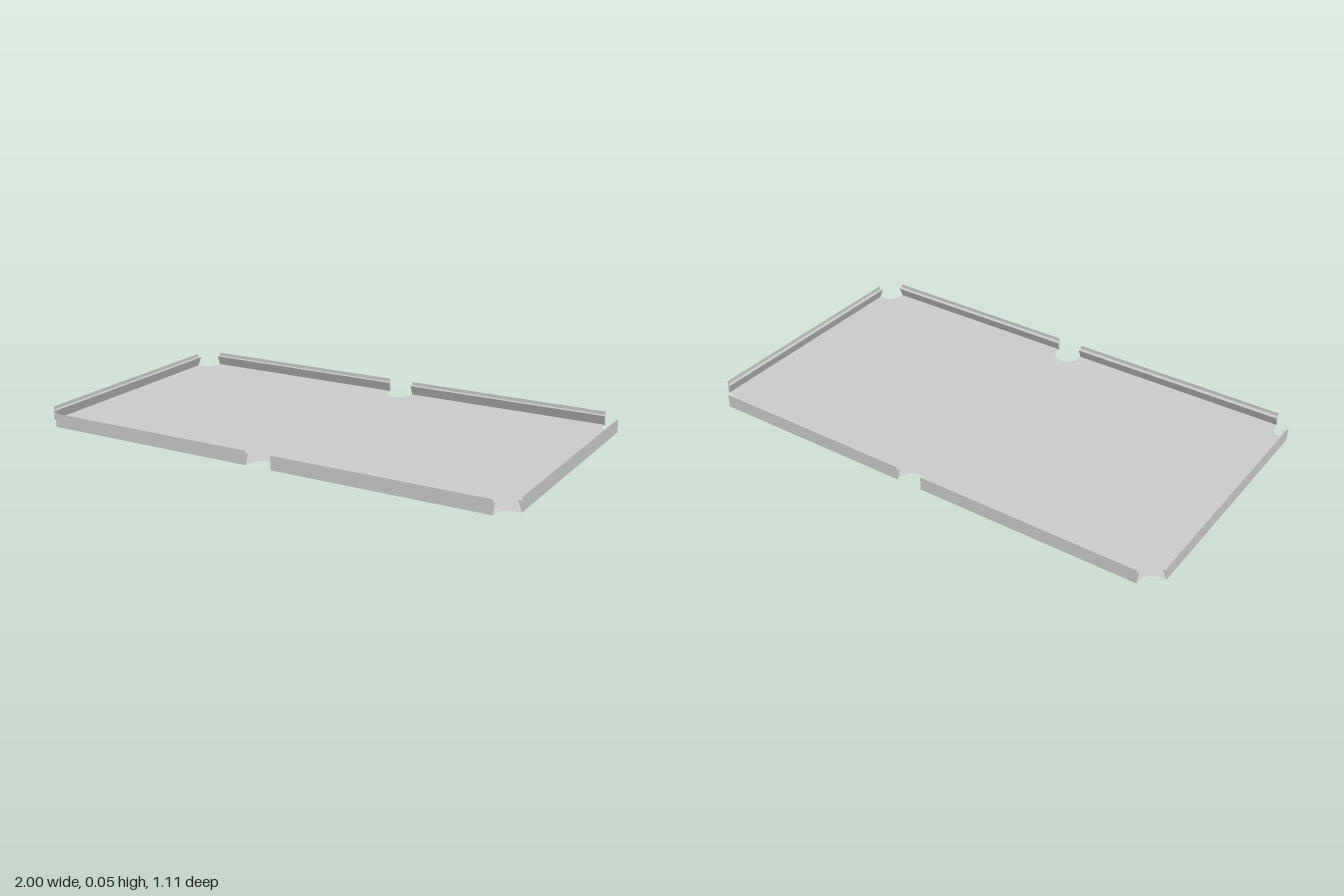
import * as THREE from 'three';

const HALF_X = 1, HALF_Z = 0.557;      // outer edges of the bed
const NOSE_Y = 0.041, LIP_Y = 0.055;   // rail nose and lip heights
const R = 0.053;                       // pocket radius
const CX = 0.98, CZ = 0.54, MID = 0.022; // pocket centres

const material = new THREE.MeshStandardMaterial({
  color: 0xcccccc, flatShading: true, side: THREE.DoubleSide,
});

// Thin bed with rounded pocket cut-outs at corners and mid-sides
function createBed() {
  const s = new THREE.Shape();
  const P = Math.PI;
  s.moveTo(-CX + R, -HALF_Z);
  s.lineTo(MID - R, -HALF_Z);
  s.lineTo(MID - R, -CZ);
  s.absarc(MID, -CZ, R, P, 0, true);
  s.lineTo(MID + R, -HALF_Z);
  s.lineTo(CX - R, -HALF_Z);
  s.lineTo(CX - R, -CZ);
  s.absarc(CX, -CZ, R, P, P / 2, true);
  s.lineTo(HALF_X, -CZ + R);
  s.lineTo(HALF_X, CZ - R);
  s.absarc(CX, CZ, R, -P / 2, -P, true);
  s.lineTo(CX - R, HALF_Z);
  s.lineTo(MID + R, HALF_Z);
  s.lineTo(MID + R, CZ);
  s.absarc(MID, CZ, R, 0, -P, true);
  s.lineTo(MID - R, HALF_Z);
  s.lineTo(-CX + R, HALF_Z);
  s.lineTo(-CX + R, CZ);
  s.absarc(-CX, CZ, R, 0, -P / 2, true);
  s.lineTo(-HALF_X, CZ - R);
  s.lineTo(-HALF_X, -CZ + R);
  s.absarc(-CX, -CZ, R, P / 2, 0, true);
  s.closePath();
  const bed = new THREE.Mesh(new THREE.ShapeGeometry(s, 10).rotateX(-Math.PI / 2), material);
  bed.name = 'bed';
  return bed;
}

// Rail: undercut triangular cushion with a thin upright lip; local +x faces outward
function createRail(name, length, depth, x, z, angle) {
  const rail = new THREE.Group();
  rail.name = name;
  const profile = new THREE.Shape([
    new THREE.Vector2(0, 0),
    new THREE.Vector2(0, NOSE_Y),
    new THREE.Vector2(-depth, NOSE_Y),
  ]);
  const cushion = new THREE.Mesh(
    new THREE.ExtrudeGeometry(profile, { depth: length, bevelEnabled: false })
      .translate(0, 0, -length / 2), material);
  cushion.name = 'cushion';
  const lip = new THREE.Mesh(
    new THREE.PlaneGeometry(length, LIP_Y - NOSE_Y)
      .rotateY(-Math.PI / 2).translate(0, (LIP_Y + NOSE_Y) / 2, 0), material);
  lip.name = 'lip';
  rail.add(cushion, lip);
  rail.position.set(x, 0, z);
  rail.rotation.y = angle;
  return rail;
}

export function createModel() {
  const model = new THREE.Group();
  model.name = 'tableBed';
  model.add(createBed());

  // Two long rails on the front and back, between the pockets
  const spans = [['Right', -CX + R, MID - R], ['Left', MID + R, CX - R]];
  for (const [side, a, b] of spans) {
    model.add(createRail('frontRail' + side, b - a, 0.018, (a + b) / 2, HALF_Z, -Math.PI / 2));
    model.add(createRail('backRail' + side, b - a, 0.018, (a + b) / 2, -HALF_Z, Math.PI / 2));
  }
  // One rail on each end
  const endLength = 2 * (CZ - R);
  model.add(createRail('leftRail', endLength, 0.016, HALF_X, 0, 0));
  model.add(createRail('rightRail', endLength, 0.016, -HALF_X, 0, Math.PI));
  return model;
}
